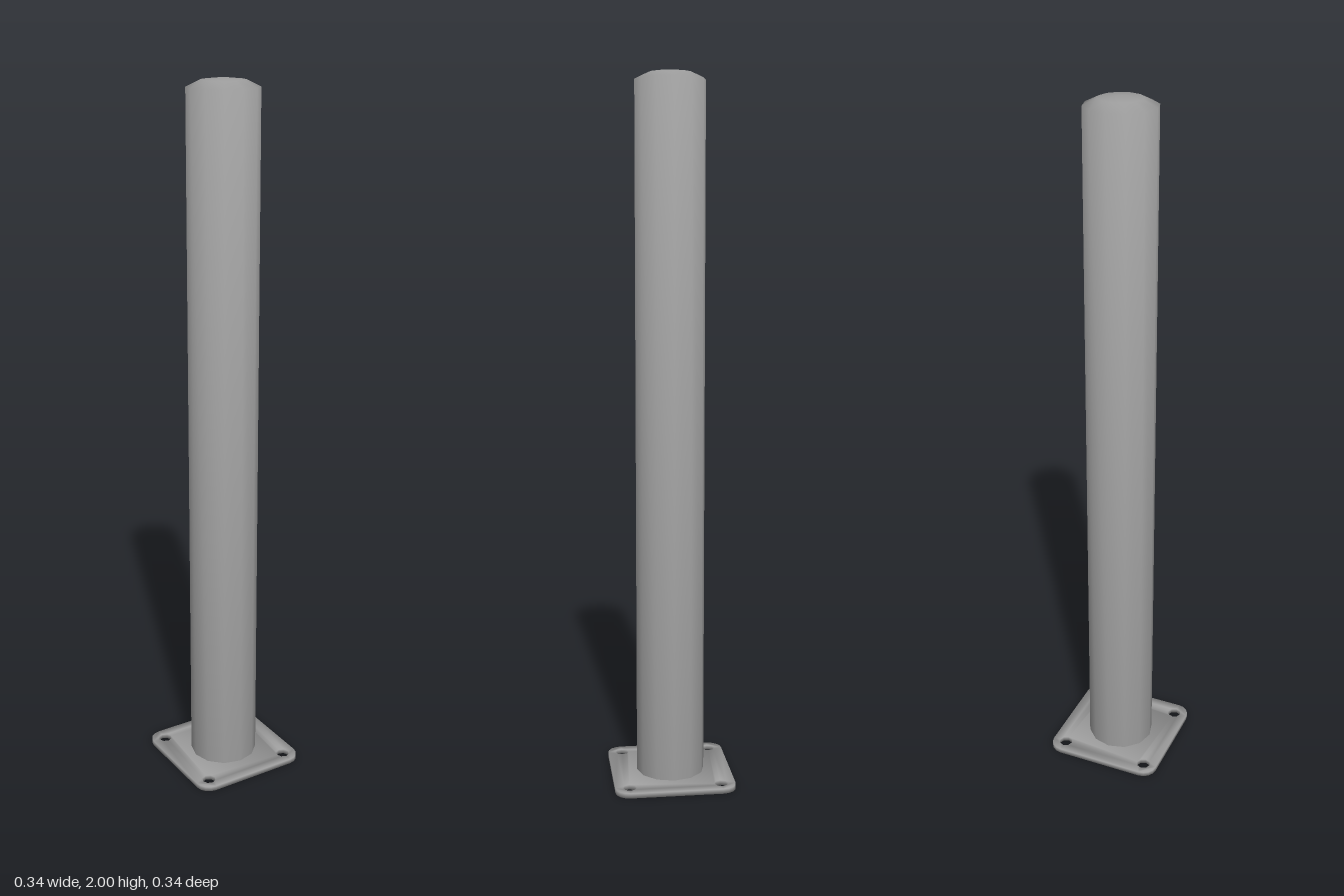
import * as THREE from 'three';
import { mergeVertices } from 'three/addons/utils/BufferGeometryUtils.js';

const HALF = 0.172;   // half width of the plate
const CORNER = 0.131; // bolt hole and corner arc centre
const HOLE = 0.02;
const THICK = 0.014;

// Weld the corners and average the face normals by corner angle
function smoothed(source) {
  source.deleteAttribute('normal');
  source.deleteAttribute('uv');
  const g = mergeVertices(source, 1e-5);
  const pos = g.attributes.position;
  const normals = Array.from({ length: pos.count }, () => new THREE.Vector3());
  const at = (i) => new THREE.Vector3().fromBufferAttribute(pos, i);
  for (let f = 0; f < g.index.count; f += 3) {
    const ids = [0, 1, 2].map((k) => g.index.getX(f + k));
    const [a, b, c] = ids.map(at);
    const faceNormal = new THREE.Triangle(a, b, c).getNormal(new THREE.Vector3());
    [[a, b, c], [b, c, a], [c, a, b]].forEach(([p, q, r], k) => {
      const angle = q.clone().sub(p).angleTo(r.clone().sub(p));
      normals[ids[k]].addScaledVector(faceNormal, angle);
    });
  }
  const flat = normals.flatMap((n) => n.normalize().toArray());
  g.setAttribute('normal', new THREE.Float32BufferAttribute(flat, 3));
  return g;
}

function arc(cx, cy, r, from, to, steps) {
  return Array.from({ length: steps + 1 }, (_, i) => {
    const a = THREE.MathUtils.degToRad(from + ((to - from) * i) / steps);
    return new THREE.Vector2(cx + r * Math.cos(a), cy + r * Math.sin(a));
  });
}

// Rounded square plate with four octagonal bolt holes, tiled as centre, edge strips and corners
function plateGeometry() {
  const positions = [];
  const put = (p, y) => positions.push(p.x, y, -p.y);
  const tile = (points) => {
    for (const [a, b, c] of THREE.ShapeUtils.triangulateShape(points, [])) {
      [a, b, c].forEach((i) => put(points[i], THICK));
      [c, b, a].forEach((i) => put(points[i], 0));
    }
  };
  const wall = (points) => {
    for (let i = 0; i < points.length - 1; i++) {
      const p = points[i], q = points[i + 1];
      put(p, 0); put(q, 0); put(q, THICK);
      put(p, 0); put(q, THICK); put(p, THICK);
    }
  };
  const centre = [];
  const origin = new THREE.Vector2();
  for (let k = 0; k < 4; k++) {
    const turn = (points) => points.map((p) => p.rotateAround(origin, (k * Math.PI) / 2));
    const outer = turn(arc(CORNER, CORNER, HALF - CORNER, 0, 90, 4));
    const hole = turn(arc(CORNER, CORNER, HOLE, 315, -45, 8));
    const nextHole = turn(arc(CORNER, -CORNER, HOLE, 90, 45, 1));
    const edgeStart = turn([new THREE.Vector2(HALF, -CORNER)])[0];
    // hole[0] faces the edge strip, hole[1..3] the centre, hole[4..8] the corner
    tile([...outer, ...hole.slice(4)]);
    tile([nextHole[1], edgeStart, outer[0], hole[0]]);
    tile([nextHole[0], nextHole[1], hole[0], hole[1]]);
    wall(outer);
    wall([edgeStart, outer[0]]);
    wall(hole);
    centre.push(...hole.slice(1, 4));
  }
  tile(centre);
  const g = new THREE.BufferGeometry();
  g.setAttribute('position', new THREE.Float32BufferAttribute(positions, 3));
  return smoothed(g);
}

export function createModel() {
  const group = new THREE.Group();
  group.name = 'bollard';
  const material = new THREE.MeshStandardMaterial({ color: 0x9c9c9c });

  const plate = new THREE.Mesh(plateGeometry(), material);
  plate.name = 'basePlate';
  group.add(plate);

  // Twelve-sided post with a shallow domed top
  const profile = [[0.098, THICK / 2], [0.098, 1.976], [0.06, 1.994], [0, 2]]
    .map(([r, y]) => new THREE.Vector2(r, y));
  const post = new THREE.Mesh(smoothed(new THREE.LatheGeometry(profile, 12)), material);
  post.name = 'post';
  group.add(post);

  return group;
}
